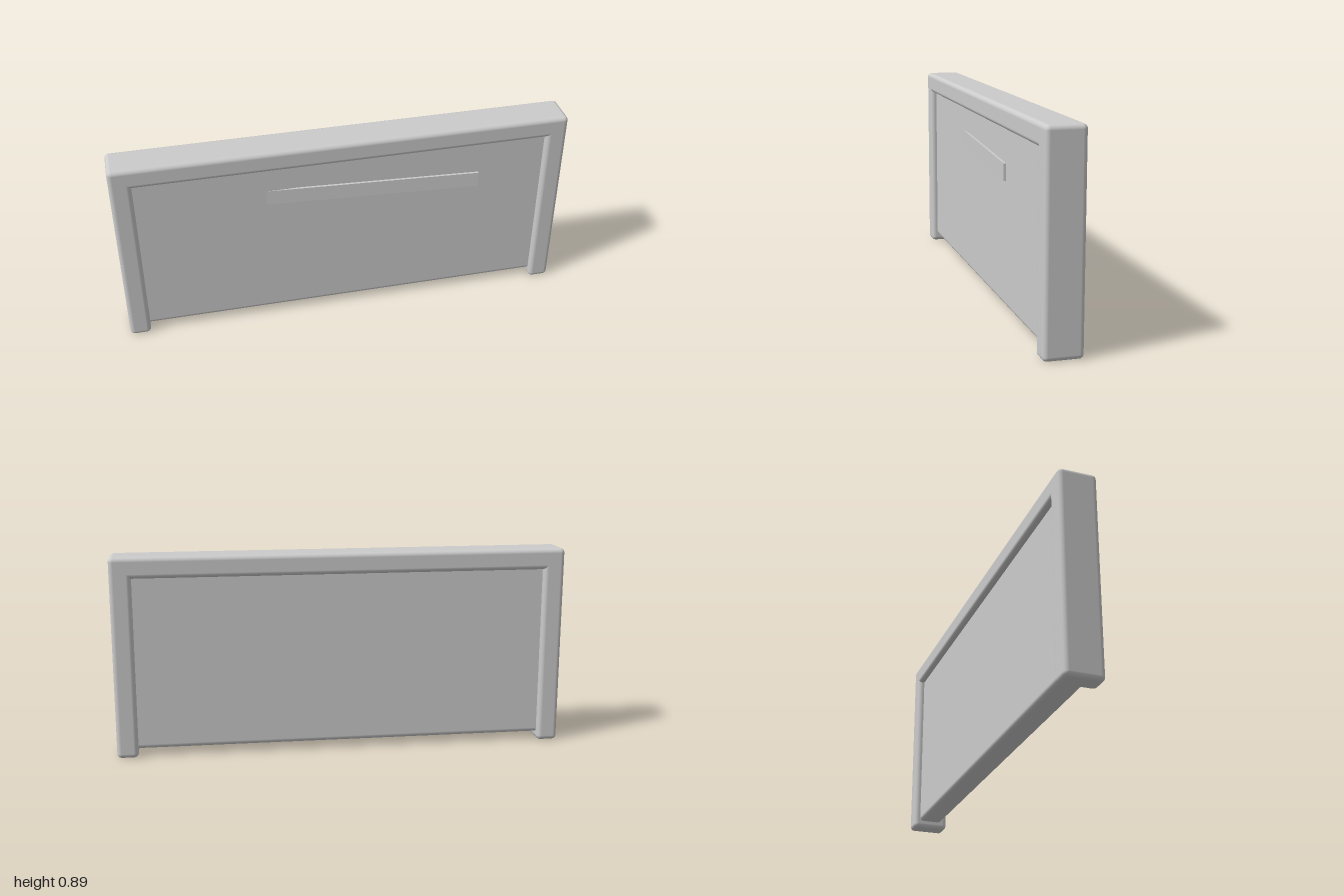
import * as THREE from 'three';
import { RoundedBoxGeometry } from 'three/addons/geometries/RoundedBoxGeometry.js';

const material = new THREE.MeshStandardMaterial({ color: 0xcccccc });

// Box with softened edges, given by its centre and size
function softBox(name, [x, y, z], [w, h, d], radius) {
  const mesh = new THREE.Mesh(new RoundedBoxGeometry(w, h, d, 4, radius), material);
  mesh.name = name;
  mesh.position.set(x, y, z);
  return mesh;
}

export function createModel() {
  const group = new THREE.Group();
  group.name = 'framedPanel';

  const height = 0.89, depth = 0.165, midZ = -0.0175, bar = 0.093, edge = 0.02;

  // Frame: two full-height posts joined by a top rail
  for (const side of [-1, 1]) {
    group.add(softBox(side > 0 ? 'leftPost' : 'rightPost',
      [side * (1 - bar / 2), height / 2, midZ], [bar, height, depth], edge));
  }
  group.add(softBox('topRail', [0, height - bar / 2, midZ], [2, bar, depth], edge));

  // Recessed panel, its sides and top tucked into the frame
  const bottom = 0.033, top = 0.84;
  group.add(softBox('panel', [0, (bottom + top) / 2, midZ], [1.88, top - bottom, 0.111], edge));

  // Thin strip that slants out of the panel's front
  const length = 0.95, angle = Math.atan(0.067);
  const strip = new THREE.Mesh(new THREE.BoxGeometry(length, 0.07, 0.01), material);
  strip.name = 'slantedStrip';
  strip.rotation.y = -angle;
  strip.position.set(
    0.588 - Math.cos(angle) * length / 2, 0.648, 0.0955 - Math.sin(angle) * length / 2);
  group.add(strip);

  return group;
}
